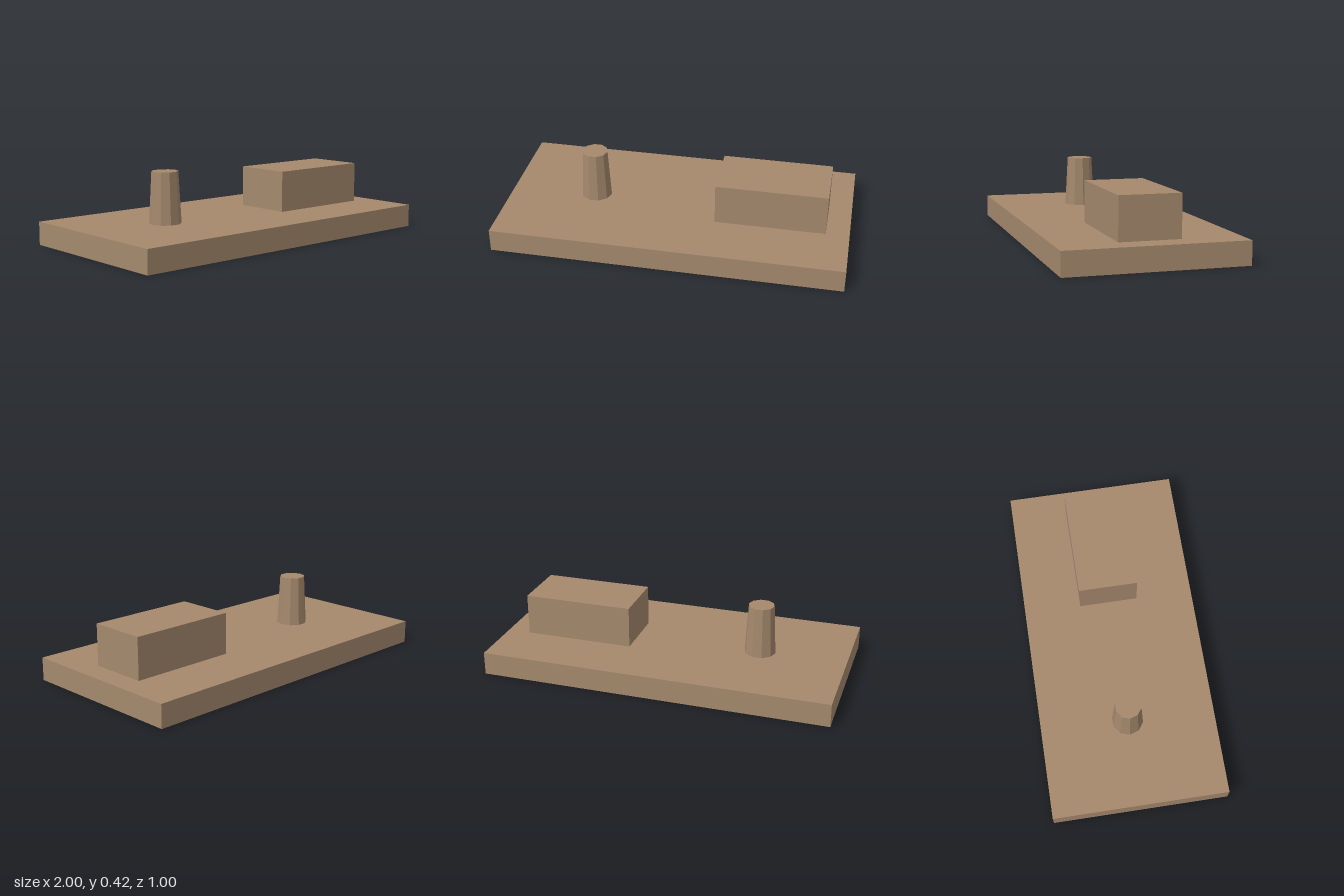
import * as THREE from 'three';

export function createModel() {
  const model = new THREE.Group();
  const tan = new THREE.MeshStandardMaterial({ color: 0xa5896d, flatShading: true });
  tan.name = 'tan';

  // Each part is placed by the height of its underside
  const add = (name, geometry, x, bottom, height) => {
    const mesh = new THREE.Mesh(geometry, tan);
    mesh.name = name;
    mesh.position.set(x, bottom + height / 2, 0);
    model.add(mesh);
  };

  const baseH = 0.132, blockH = 0.238, postH = 0.29;

  // Flat slab
  add('base', new THREE.BoxGeometry(2, baseH, 1), 0, 0, baseH);

  // Rectangular block on the left side
  add('block', new THREE.BoxGeometry(0.632, blockH, 0.34), 0.551, baseH, blockH);

  // Tapered ten-sided post on the right side, with corners on the x axis
  const post = new THREE.CylinderGeometry(0.074, 0.09, postH, 10, 1).rotateY(Math.PI / 2);
  add('post', post, -0.5, baseH, postH);

  return model;
}
